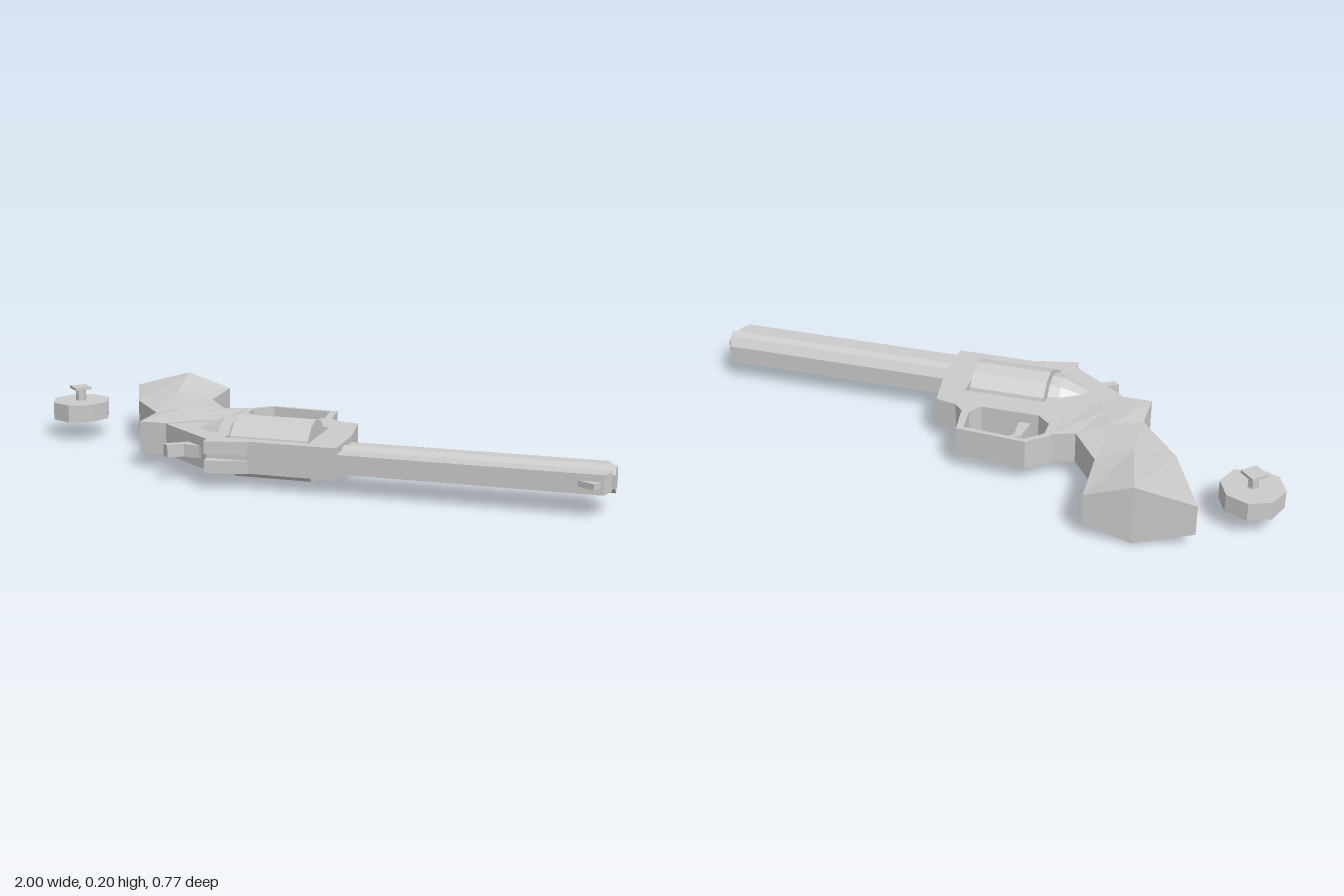
import * as THREE from 'three';

const YC = 0.1; // mid-plane of the revolver, which lies on its side
const material = new THREE.MeshStandardMaterial({ color: 0xcccccc, flatShading: true });

function add(group, name, geometry) {
  const mesh = new THREE.Mesh(geometry, material);
  mesh.name = name;
  group.add(mesh);
  return mesh;
}

// Plate from an x/z outline, extruded through the thickness (y)
function plate(outline, thickness, holes = [], y = YC) {
  const toPoints = (list) => list.map(([x, z]) => new THREE.Vector2(x, z));
  const shape = new THREE.Shape(toPoints(outline));
  holes.forEach((h) => shape.holes.push(new THREE.Path(toPoints(h))));
  const g = new THREE.ExtrudeGeometry(shape, { depth: thickness, bevelEnabled: false });
  return g.rotateX(Math.PI / 2).translate(0, y + thickness / 2, 0);
}

// Prism or frustum running along x
function rod(x0, x1, r0, r1, sides, z) {
  const g = new THREE.CylinderGeometry(r0, r1, x1 - x0, sides, 1, false, Math.PI / 2);
  return g.rotateZ(Math.PI / 2).translate((x0 + x1) / 2, YC, z);
}

// Faceted grip lofted through six-sided sections: [back, middle, front] as [x, z, halfWidth]
function gripGeometry() {
  const sections = [
    [[-0.765, -0.35, 0.05], [-0.58, -0.38, 0.1], [-0.43, -0.388, 0.05]],
    [[-0.655, -0.1, 0.05], [-0.53, -0.14, 0.075], [-0.42, -0.19, 0.05]],
    [[-0.52, 0.065, 0.052], [-0.43, 0, 0.066], [-0.33, -0.065, 0.052]],
    [[-0.52, 0.2, 0.052], [-0.39, 0.08, 0.06], [-0.255, -0.09, 0.052]],
    [[-0.42, 0.2, 0.052], [-0.36, 0.145, 0.054], [-0.27, 0.11, 0.052]],
  ];
  const positions = [];
  const index = [];
  sections.forEach((s) => {
    s.forEach(([x, z, w]) => positions.push(x, YC + w, z));
    [...s].reverse().forEach(([x, z, w]) => positions.push(x, YC - w, z));
  });
  const last = (sections.length - 1) * 6;
  for (let i = 0; i < last; i += 6) {
    for (let j = 0; j < 6; j++) {
      const k = (j + 1) % 6;
      index.push(i + j, i + 6 + j, i + k, i + k, i + 6 + j, i + 6 + k);
    }
  }
  // End caps, as strips across the width
  for (const [a, b, c, d] of [[0, 1, 4, 5], [1, 2, 3, 4]]) {
    index.push(a, b, c, a, c, d);
    index.push(last + a, last + c, last + b, last + a, last + d, last + c);
  }
  const g = new THREE.BufferGeometry();
  g.setAttribute('position', new THREE.Float32BufferAttribute(positions, 3));
  g.setIndex(index);
  const flat = g.toNonIndexed();
  flat.computeVertexNormals();
  return flat;
}

export function createModel() {
  const model = new THREE.Group();
  model.name = 'revolver';

  // Frame with cylinder window and trigger guard opening
  const outline = [
    [0.18, 0.35], [-0.235, 0.35], [-0.43, 0.2], [-0.37, 0.1], [-0.255, -0.095],
    [-0.19, -0.155], [0.04, -0.14], [0.055, -0.03], [0.085, 0], [0.155, 0.015], [0.18, 0.18],
  ];
  const windowHole = [[-0.187, 0.095], [0.083, 0.095], [0.083, 0.315], [-0.187, 0.315]];
  const guardHole = [
    [-0.235, -0.09], [-0.18, -0.14], [0.02, -0.125], [0.03, -0.03],
    [0, 0.01], [-0.19, 0.01], [-0.235, -0.03],
  ];
  add(model, 'frame', plate(outline, 0.1, [windowHole, guardHole]));

  // Cylinder, its axle and the tapered recoil shield behind it
  add(model, 'cylinder', rod(-0.178, 0.073, 0.1, 0.1, 12, 0.205));
  add(model, 'cylinderAxle', rod(-0.2, 0.1, 0.02, 0.02, 8, 0.205));
  const shield = new THREE.Group();
  shield.name = 'recoilShield';
  add(shield, 'shieldRim', rod(-0.225, -0.187, 0.087, 0.09, 12, 0.205));
  add(shield, 'shieldTaper', rod(-0.32, -0.225, 0.045, 0.087, 12, 0.205));
  // rod() takes the -x radius first after the turn, so swap the ends by mirroring the taper if needed
  shield.children.forEach((m) => {
    m.geometry.dispose();
  });
  shield.clear();
  add(shield, 'shieldRim', rod(-0.225, -0.187, 0.087, 0.09, 12, 0.205));
  add(shield, 'shieldTaper', rod(-0.32, -0.225, 0.045, 0.087, 12, 0.205));
  model.add(shield);

  // Hexagonal barrel inside a flat rib and underlug
  add(model, 'barrel', rod(0.17, 0.997, 0.042, 0.042, 6, 0.27));
  add(model, 'barrelRib', plate(
    [[0.17, 0.18], [0.965, 0.18], [0.988, 0.235], [0.988, 0.305], [0.97, 0.35], [0.17, 0.35]], 0.06));

  // Sights
  add(model, 'frontSight', plate([[0.88, 0.34], [0.945, 0.378], [0.968, 0.34]], 0.018));
  for (const side of [-1, 1]) {
    add(model, 'rearSight', plate(
      [[-0.235, 0.34], [-0.23, 0.384], [-0.1, 0.355], [-0.1, 0.34]], 0.04, [], YC + side * 0.03));
  }

  // Hammer and trigger
  add(model, 'hammer', plate([
    [-0.315, 0.285], [-0.385, 0.33], [-0.365, 0.347], [-0.32, 0.32],
    [-0.27, 0.327], [-0.22, 0.345], [-0.2, 0.27],
  ], 0.04));
  add(model, 'trigger', plate(
    [[-0.165, 0.02], [-0.155, -0.065], [-0.085, -0.12], [-0.13, -0.065], [-0.125, 0.02]], 0.03));

  add(model, 'grip', gripGeometry());

  // Separate octagonal loader with stem and square knob
  const loader = new THREE.Group();
  loader.name = 'loader';
  loader.position.set(-0.9, 0, -0.157);
  for (const [name, r, y0, y1, sides] of [
    ['loaderBody', 0.1, 0.065, 0.125, 8],
    ['loaderStem', 0.018, 0.125, 0.165, 6],
    ['loaderKnob', 0.041, 0.165, 0.174, 4],
  ]) {
    add(loader, name, new THREE.CylinderGeometry(r, r, y1 - y0, sides).translate(0, (y0 + y1) / 2, 0));
  }
  model.add(loader);

  return model;
}
